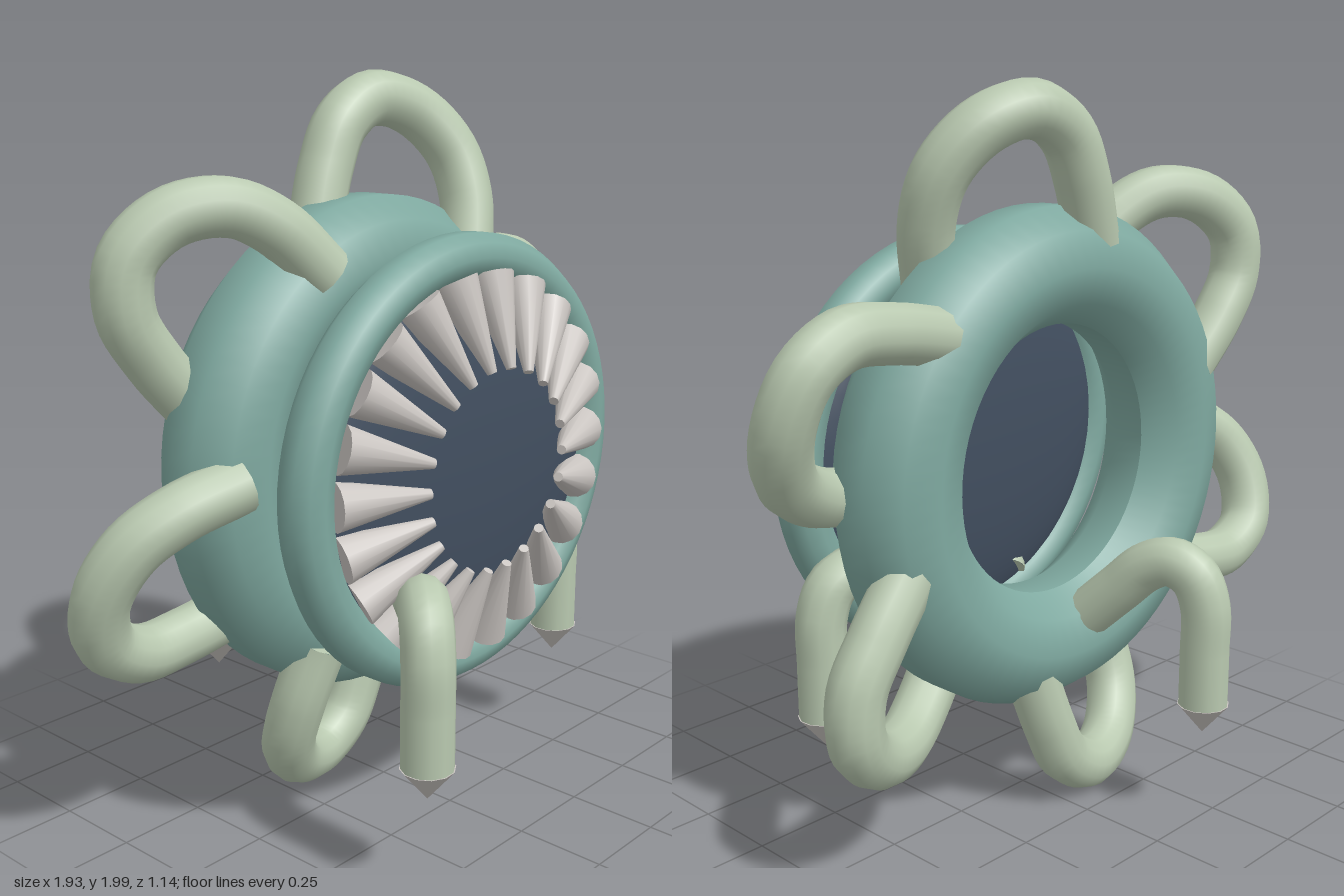
import * as THREE from 'three';

const material = (name, color) => {
  const m = new THREE.MeshStandardMaterial({ color });
  m.name = name;
  return m;
};

export function createModel() {
  const teal = material('teal skin', 0x7fa9a0);
  const pale = material('pale green limb', 0xb9c9b0);
  const dark = material('dark mouth', 0x424f60);
  const bone = material('bone', 0xcac5c1);

  const model = new THREE.Group();
  model.name = 'creature';
  const V = (x, y, z) => new THREE.Vector3(x, y, z);
  const add = (parent, name, geometry, mat) => {
    const mesh = new THREE.Mesh(geometry, mat);
    mesh.name = name;
    parent.add(mesh);
    return mesh;
  };

  // Ring facing +z with a many-sided section
  const ring = (R, r, sides) => {
    const profile = [];
    for (let i = 0; i <= sides; i++) {
      const a = -Math.PI + ((i + 0.5) / sides) * Math.PI * 2;
      profile.push(new THREE.Vector2(R + r * Math.cos(a), r * Math.sin(a)));
    }
    return new THREE.LatheGeometry(profile, 72).rotateX(Math.PI / 2);
  };

  // Tube through points, with flat capped ends
  const limb = (name, points, r) => {
    const group = new THREE.Group();
    group.name = name;
    const curve = new THREE.CatmullRomCurve3(points);
    add(group, 'limbTube', new THREE.TubeGeometry(curve, 40, r, 12), pale);
    [0, 1].forEach((t) => {
      const cap = add(group, 'limbEnd', new THREE.CircleGeometry(r, 12), pale);
      const out = curve.getTangent(t).multiplyScalar(t ? 1 : -1);
      cap.position.copy(curve.getPoint(t));
      cap.quaternion.setFromUnitVectors(V(0, 0, 1), out);
    });
    return group;
  };

  // Body ring
  add(model, 'bodyRing', ring(0.523, 0.163, 10), teal).position.set(0, 1.003, -0.07);

  // Mouth: slightly oval lip and dark lens-shaped disc
  const lip = add(model, 'mouthLip', ring(0.57, 0.068, 10), teal);
  lip.position.set(0, 1.004, 0.263);
  lip.scale.y = 0.945;
  const disc = add(model, 'mouthDisc', new THREE.SphereGeometry(1, 48, 24), dark);
  disc.position.set(0, 1.004, 0.252);
  disc.scale.set(0.565, 0.53, 0.097);

  // Teeth leaning inward and forward
  const toothCount = 22;
  for (let i = 0; i < toothCount; i++) {
    const a = (i / toothCount) * Math.PI * 2;
    const at = (rad, z) => V(Math.cos(a) * rad, 1.004 + Math.sin(a) * rad * 0.96, z);
    const base = at(0.51, 0.3);
    const tip = at(0.275, 0.4);
    const tooth = add(model, 'tooth',
      new THREE.CylinderGeometry(0.013, 0.063, base.distanceTo(tip), 14), bone);
    tooth.position.copy(base).lerp(tip, 0.5);
    tooth.quaternion.setFromUnitVectors(V(0, 1, 0), tip.clone().sub(base).normalize());
  }

  // Six looped tentacles, each running from the front of the ring to its back
  const loopPath = [
    V(0.3, 0.48, 0.04), V(0.345, 0.65, 0), V(0.335, 0.78, -0.05), V(0.25, 0.885, -0.11),
    V(0.12, 0.921, -0.15), V(0.005, 0.86, -0.157), V(-0.06, 0.74, -0.155), V(-0.12, 0.57, -0.14),
  ];
  for (let i = 0; i < 6; i++) {
    const loop = limb('loopTentacle', loopPath, 0.075);
    loop.position.y = 1.004;
    loop.rotation.z = (i * Math.PI) / 3;
    model.add(loop);
  }

  // Three arched legs with downward claws
  const legPath = [
    V(0.25, 0.56, 0), V(0.34, 0.645, 0), V(0.42, 0.718, 0), V(0.49, 0.742, 0),
    V(0.555, 0.71, 0), V(0.588, 0.63, 0), V(0.59, 0.5, 0), V(0.59, 0.35, 0),
  ];
  for (let i = 0; i < 3; i++) {
    const leg = limb('leg', legPath, 0.068);
    const claw = add(leg, 'claw', new THREE.ConeGeometry(0.071, 0.085, 12).rotateX(Math.PI), bone);
    claw.position.set(0.59, 0.31, 0);
    leg.position.z = 0.058;
    leg.rotation.y = -((12 + i * 120) * Math.PI) / 180;
    model.add(leg);
  }
  return model;
}
